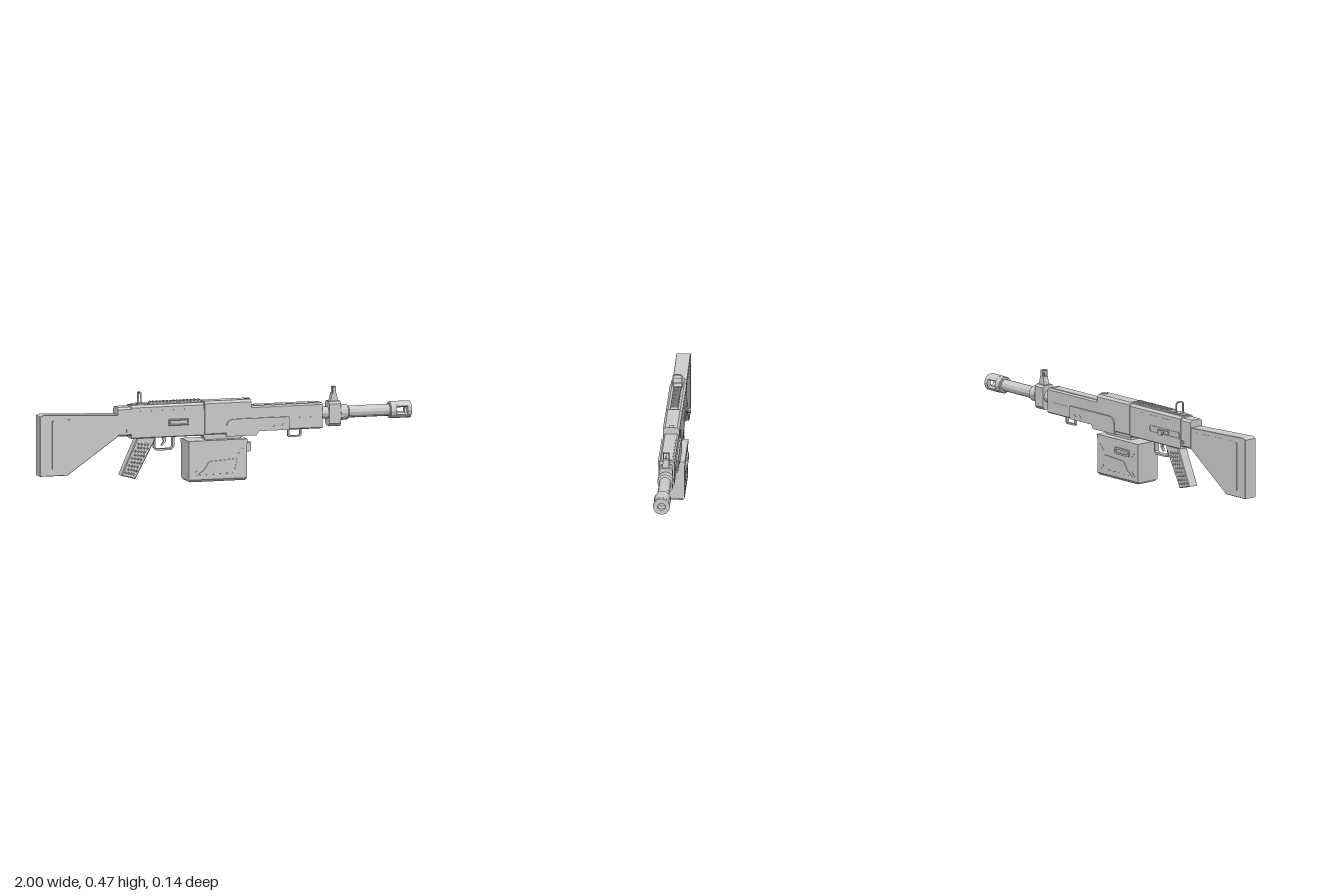
import * as THREE from 'three';

const grey = new THREE.MeshStandardMaterial({ color: 0xcccccc, flatShading: true });
grey.name = 'light metal grey';

export function createModel() {
  const model = new THREE.Group();
  model.name = 'machineGun';
  const gun = new THREE.Group();
  gun.name = 'gun';
  gun.position.z = 0.0035;
  model.add(gun);

  const add = (name, geo, x = 0, y = 0, z = 0) => {
    const m = new THREE.Mesh(geo, grey);
    m.name = name;
    m.position.set(x, y, z);
    gun.add(m);
    return m;
  };
  // box given by its limits
  const box = (name, x0, x1, y0, y1, z0, z1) =>
    add(name, new THREE.BoxGeometry(x1 - x0, y1 - y0, z1 - z0), (x0 + x1) / 2, (y0 + y1) / 2, (z0 + z1) / 2);
  const polygon = pts => new THREE.Shape(pts.map(p => new THREE.Vector2(p[0], p[1])));
  // side profile (x, y) widened to a half width, with bevelled rims
  const slab = (name, shape, half, bevel = 0) => {
    const geo = new THREE.ExtrudeGeometry(shape, {
      depth: 2 * (half - bevel), bevelEnabled: bevel > 0, bevelSize: bevel,
      bevelThickness: bevel, bevelOffset: -bevel, bevelSegments: 1,
    });
    return add(name, geo.translate(0, 0, bevel - half));
  };
  // cross-section (z, y) drawn out along x
  const along = (name, shape, x0, x1, curveSegments = 6) =>
    add(name, new THREE.ExtrudeGeometry(shape, { depth: x1 - x0, bevelEnabled: false, curveSegments }).rotateY(Math.PI / 2), x0);
  // symmetric section with separate top and bottom chamfers [across, up]
  const section = (h, y0, y1, [tc, th], [bc, bh]) => polygon([
    [-h + bc, y0], [h - bc, y0], [h, y0 + bh], [h, y1 - th],
    [h - tc, y1], [-h + tc, y1], [-h, y1 - th], [-h, y0 + bh]]);
  // rectangular frame
  const frame = (a0, a1, b0, b1, t, c = 0.006) => {
    const ring = (i, k) => [
      [a0 + i + k, b0 + i], [a1 - i - k, b0 + i], [a1 - i, b0 + i + k], [a1 - i, b1 - i - k],
      [a1 - i - k, b1 - i], [a0 + i + k, b1 - i], [a0 + i, b1 - i - k], [a0 + i, b0 + i + k]];
    const s = polygon(ring(0, c));
    s.holes.push(polygon(ring(t, c * 0.6)));
    return s;
  };

  // stock with butt plate lines
  slab('stock', polygon([[-1, 0.06], [-0.853, 0.06], [-0.58, 0.25], [-0.54, 0.25], [-0.54, 0.36], [-0.98, 0.378], [-1, 0.37]]), 0.037, 0.002);
  for (const s of [-1, 1]) {
    const z = s * 0.037;
    box('stockPlateLine', -0.935, -0.925, 0.095, 0.345, z - 0.002, z + 0.002);
    box('stockSeam', -0.9, -0.62, 0.343, 0.346, z - 0.001, z + 0.001).rotation.z = -0.035;
  }

  // receiver
  along('receiverRear', section(0.04, 0.25, 0.4, [0.012, 0.012], [0.008, 0.008]), -0.582, -0.51);
  along('receiver', section(0.043, 0.236, 0.407, [0.012, 0.012], [0.004, 0.004]), -0.51, -0.12);
  for (const s of [-1, 1]) {
    const z = s * 0.043;
    box('receiverSeam', -0.47, -0.2, 0.374, 0.377, z - 0.001, z + 0.001);
    box('receiverPin', -0.535, -0.52, 0.27, 0.285, z - 0.005, z + 0.001);
  }
  slab('ejectionPort', frame(-0.31, -0.2, 0.295, 0.329, 0.008, 0.002), 0.004, 0.003).position.z += 0.043;
  box('ejectionCover', -0.3, -0.21, 0.306, 0.319, 0.04, 0.0445);

  // toothed rail
  box('railBase', -0.5, -0.13, 0.404, 0.411, -0.021, 0.021);
  const tooth = polygon([[0, 0.41], [0.0165, 0.41], [0.013, 0.42], [0.0035, 0.42]]);
  for (let i = 0; i < 15; i++) slab('railTooth', tooth, 0.019).position.x = -0.403 + i * 0.0185;

  // charging handle and its slot
  slab('chargingSlot', frame(-0.5, -0.27, 0.287, 0.323, 0.006, 0.004), 0.003).position.z -= 0.044;
  box('chargingSlider', -0.42, -0.34, 0.296, 0.314, -0.049, -0.042);
  add('chargingStem', new THREE.CylinderGeometry(0.008, 0.008, 0.02, 8).rotateX(Math.PI / 2), -0.38, 0.305, -0.052);
  add('chargingKnob', new THREE.CylinderGeometry(0.015, 0.015, 0.013, 10).rotateX(Math.PI / 2), -0.38, 0.305, -0.0655);

  // rear sight
  along('rearSight', frame(-0.026, 0.026, 0.4, 0.472, 0.006, 0.01), -0.458, -0.45);
  box('rearSightBase', -0.47, -0.43, 0.405, 0.414, -0.024, 0.024);

  // feed cover and forend
  along('feedCover', section(0.043, 0.36, 0.412, [0.012, 0.012], [0, 0.001]), -0.115, 0.135);
  box('coverLatch', 0.11, 0.138, 0.405, 0.415, -0.012, 0.012);
  along('forend', section(0.039, 0.245, 0.377, [0.008, 0.008], [0.008, 0.006]), -0.12, 0.52);
  along('forendCollar', section(0.043, 0.24, 0.37, [0.004, 0.004], [0.004, 0.004]), -0.115, 0.0);
  box('forendTopRib', 0.16, 0.5, 0.375, 0.379, -0.026, 0.026);
  const panel = polygon([[0, 0.226], [0.16, 0.226], [0.175, 0.247], [0.34, 0.247], [0.34, 0.315], [0.035, 0.315], [0.01, 0.305], [0, 0.28]]);
  slab('forendSidePanels', panel, 0.047);
  for (const s of [-1, 1]) {
    const z = s * 0.039;
    box('forendSlot', 0.36, 0.48, 0.3, 0.308, z - 0.002, z + 0.002);
    for (const x of [0.25, 0.29])
      slab('panelMark', polygon([[x, 0.265], [x + 0.022, 0.265], [x + 0.017, 0.282]]), 0.002).position.z = s * 0.047;
  }
  box('forendKeel', -0.12, 0.16, 0.225, 0.25, -0.036, 0.036);
  slab('slingLoop', frame(0.343, 0.415, 0.203, 0.25, 0.008), 0.007);

  // pistol grip with studs
  const corners = [[-0.56, 0.045], [-0.484, 0.025], [-0.378, 0.225], [-0.475, 0.235]];
  slab('grip', polygon([corners[0], corners[1], corners[2], [-0.39, 0.245], [-0.475, 0.245], corners[3]]), 0.029, 0.004);
  for (let r = 0; r < 9; r++) for (let c = 0; c < 4; c++) {
    const v = 0.1 + r * 0.095, u = 0.2 + c * 0.18 + (r % 2) * 0.07;
    const at = k => (1 - v) * ((1 - u) * corners[0][k] + u * corners[1][k]) + v * ((1 - u) * corners[3][k] + u * corners[2][k]);
    const stud = new THREE.CylinderGeometry(0.003, 0.007, 0.003, 4);
    for (const s of [-1, 1]) add('gripStud', stud, at(0), at(1), s * 0.0303).rotation.x = s * Math.PI / 2;
  }

  // trigger and guard
  slab('triggerGuard', frame(-0.38, -0.27, 0.165, 0.25, 0.009, 0.015), 0.013);
  slab('trigger', polygon([[-0.335, 0.24], [-0.325, 0.21], [-0.34, 0.19], [-0.33, 0.188], [-0.313, 0.21], [-0.313, 0.24]]), 0.006);

  // ammunition box on a tapered foot
  box('ammoBox', -0.208, 0.104, 0.012, 0.195, -0.067, 0.067);
  const foot = new THREE.BoxGeometry(0.312, 0.012, 0.134);
  const p = foot.attributes.position;
  for (let i = 0; i < p.count; i++)
    if (p.getY(i) < 0) p.setXYZ(i, p.getX(i) - Math.sign(p.getX(i)) * 0.008, p.getY(i), p.getZ(i) - Math.sign(p.getZ(i)) * 0.009);
  add('ammoFoot', foot, -0.052, 0.006, 0);
  box('ammoLid', -0.21, 0.106, 0.19, 0.213, -0.069, 0.069);
  box('ammoNeck', -0.11, 0.08, 0.21, 0.24, -0.03, 0.03);
  box('ammoTab', 0.1, 0.143, 0.14, 0.187, -0.014, 0.014);
  slab('ammoEmboss', polygon([[-0.17, 0.035], [0.025, 0.04], [0.04, 0.065], [0.05, 0.115], [-0.1, 0.105], [-0.13, 0.06]]), 0.069, 0.001);
  for (const s of [-1, 1]) for (const [x, y, a] of [[-0.17, 0.15, -0.8], [0.07, 0.15, 0.8], [-0.175, 0.045, 0.8], [0.07, 0.045, -0.8]])
    add('ammoRib', new THREE.BoxGeometry(0.04, 0.006, 0.003), x, y, s * 0.067).rotation.z = a;
  slab('ammoLatch', frame(-0.145, -0.035, 0.135, 0.17, 0.009, 0.006), 0.005).position.z -= 0.0705;

  // barrel, turned around x
  const turned = (name, pts) => add(name,
    new THREE.LatheGeometry(pts.map(q => new THREE.Vector2(q[1], q[0])), 12).rotateZ(-Math.PI / 2), 0, 0.32, 0);
  turned('barrel', [[0.5, 0], [0.5, 0.031], [0.62, 0.031], [0.62, 0.041], [0.66, 0.041], [0.668, 0.031], [0.895, 0.031], [0.895, 0]]);
  turned('muzzleCollar', [[0.886, 0], [0.886, 0.04], [0.89, 0.044], [0.92, 0.044], [0.92, 0]]);
  const ringShape = new THREE.Shape().absarc(0, 0, 0.044, 0, Math.PI * 2, false);
  ringShape.holes.push(new THREE.Path().absarc(0, 0, 0.02, 0, Math.PI * 2, true));
  along('muzzleRing', ringShape, 0.978, 1).position.y = 0.32;
  // bridges above and below the side windows
  for (const mid of [Math.PI / 2, -Math.PI / 2]) {
    const w = Math.PI / 3, s = new THREE.Shape();
    s.absarc(0, 0, 0.044, mid - w, mid + w, false);
    s.absarc(0, 0, 0.027, mid + w, mid - w, true);
    along('muzzleBridge', s, 0.918, 0.98, 4).position.y = 0.32;
  }

  // front sight
  along('frontSightBlock', section(0.035, 0.252, 0.38, [0.01, 0.012], [0.012, 0.015]), 0.557, 0.62);
  slab('frontSightBase', polygon([[0.568, 0.375], [0.612, 0.375], [0.602, 0.42], [0.578, 0.42]]), 0.016);
  along('frontSightHood', frame(-0.016, 0.016, 0.412, 0.455, 0.004, 0.002), 0.582, 0.599);
  add('frontSightPost', new THREE.CylinderGeometry(0.001, 0.003, 0.028, 6), 0.59, 0.43);

  return model;
}
